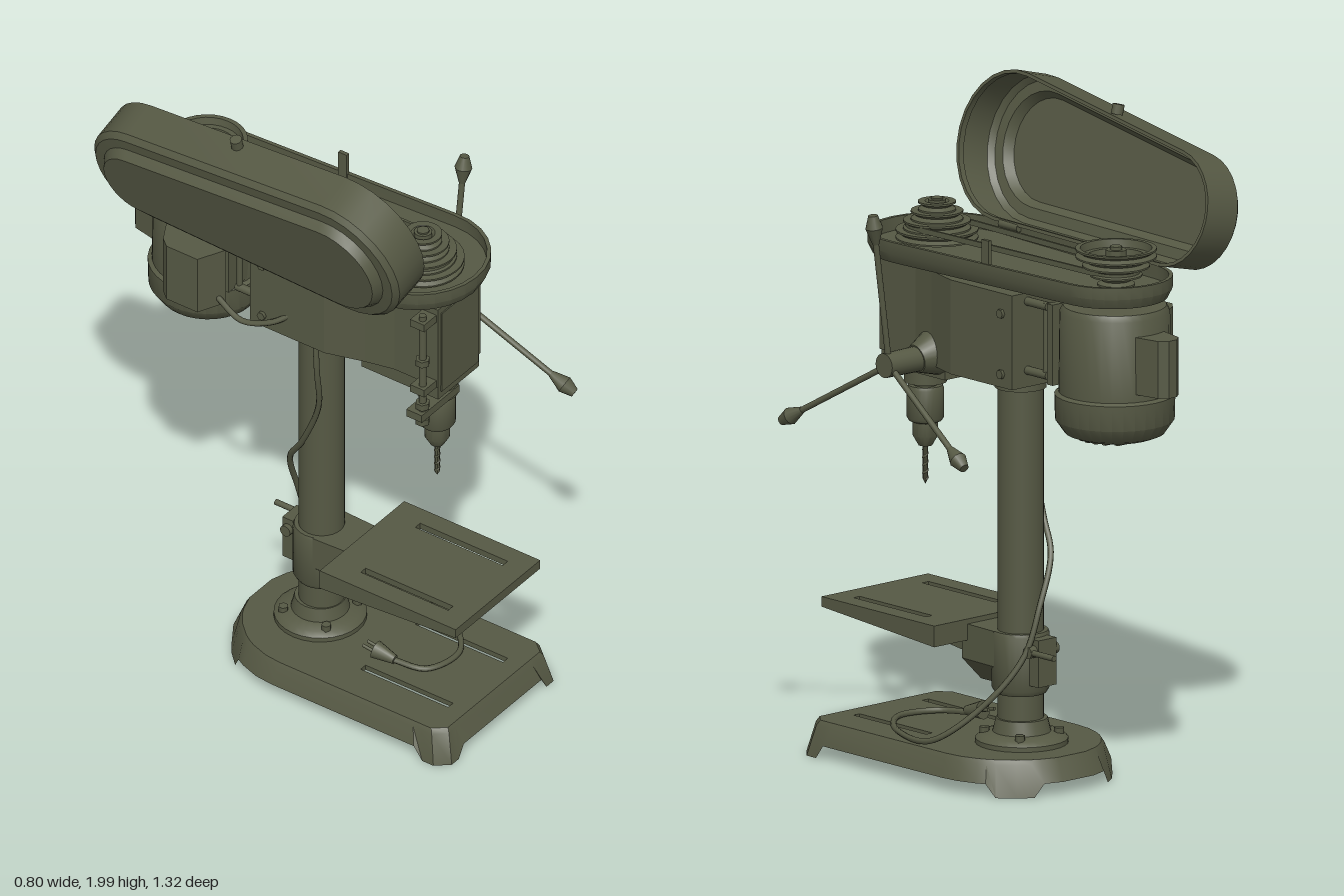
import * as THREE from 'three';
import { toCreasedNormals } from 'three/addons/utils/BufferGeometryUtils.js';

const CX = 0.045; // centre line of column, head and motor
const paint = new THREE.MeshStandardMaterial({ color: 0x565944, side: THREE.DoubleSide });
paint.name = 'olive paint';

const V = (x, y, z) => new THREE.Vector3(x, y, z);

// Convex outline around two circles [u, v, r]
function hull([ua, va, ra], [ub, vb, rb], n = 14) {
  const dir = Math.atan2(vb - va, ub - ua);
  const b = Math.acos((ra - rb) / Math.hypot(ub - ua, vb - va));
  const pts = [];
  const arc = (u, v, r, from, to) => {
    for (let i = 0; i <= n; i++) {
      const t = from + (to - from) * i / n;
      pts.push([u + r * Math.cos(t), v + r * Math.sin(t)]);
    }
  };
  arc(ua, va, ra, dir + b, dir + 2 * Math.PI - b);
  arc(ub, vb, rb, dir - b, dir + b);
  return pts;
}

// Skin through closed rings of points; the last ring may be capped
function loft(rings, cap) {
  const n = rings[0].length, pos = [], idx = [];
  rings.flat().forEach(p => pos.push(p.x, p.y, p.z));
  for (let r = 0; r < rings.length - 1; r++) for (let i = 0; i < n; i++) {
    const a = r * n + i, b = r * n + (i + 1) % n;
    idx.push(a, b, a + n, b, b + n, a + n);
  }
  if (cap) {
    const last = rings[rings.length - 1], c = V(0, 0, 0);
    last.forEach(p => c.addScaledVector(p, 1 / n));
    pos.push(c.x, c.y, c.z);
    const o = (rings.length - 1) * n;
    for (let i = 0; i < n; i++) idx.push(o + i, o + (i + 1) % n, rings.length * n);
  }
  const g = new THREE.BufferGeometry();
  g.setAttribute('position', new THREE.Float32BufferAttribute(pos, 3));
  g.setIndex(idx);
  return toCreasedNormals(g, 0.5);
}

// Plan outline [x, z] extruded from y0 up to y1
function slab(pts, y0, y1, holes = []) {
  const s = new THREE.Shape(pts.map(p => new THREE.Vector2(p[0], p[1])));
  holes.forEach(h => s.holes.push(new THREE.Path(h.map(p => new THREE.Vector2(p[0], p[1])))));
  return new THREE.ExtrudeGeometry(s, { depth: y1 - y0, bevelEnabled: false }).rotateX(Math.PI / 2).translate(0, y1, 0);
}
const rect = (x0, x1, z0, z1) => [[x0, z0], [x1, z0], [x1, z1], [x0, z1]];
const mirror = half => [...half, ...half.slice().reverse().map(([x, ...r]) => [-x, ...r])];

export function createModel() {
  const root = new THREE.Group();
  const add = (name, geo) => {
    const m = new THREE.Mesh(geo, paint);
    m.name = name;
    root.add(m);
    return m;
  };
  const box = (name, x0, x1, y0, y1, z0, z1) => add(name,
    new THREE.BoxGeometry(x1 - x0, y1 - y0, z1 - z0).translate((x0 + x1) / 2, (y0 + y1) / 2, (z0 + z1) / 2));
  const lathe = (name, profile, x, z, seg = 28) => add(name, toCreasedNormals(
    new THREE.LatheGeometry(profile.map(p => new THREE.Vector2(p[0], p[1])), seg), 0.6).translate(x, 0, z));
  const rod = (name, a, b, r0, r1 = r0, seg = 12) => {
    const d = b.clone().sub(a);
    const m = add(name, new THREE.CylinderGeometry(r1, r0, d.length(), seg));
    m.position.copy(a).addScaledVector(d, 0.5);
    m.quaternion.setFromUnitVectors(V(0, 1, 0), d.normalize());
    return m;
  };
  const tube = (name, pts, r, seg = 70) => add(name,
    new THREE.TubeGeometry(new THREE.CatmullRomCurve3(pts.map(p => V(...p))), seg, r, 7));

  // Base: hollow casting with feet, rounded back and two slots
  const half = [[0.19, 0.64, 0.04], [0.215, 0.64, 0], [0.25, 0.64, 0], [0.285, 0.6, 0],
    [0.285, 0.56, 0], [0.285, 0.53, 0.04]];
  for (const deg of [0, 12, 25, 31, 37, 50, 60, 66, 78]) {
    const t = deg * Math.PI / 180;
    half.push([0.285 * Math.cos(t), 0.02 - 0.28 * Math.sin(t), deg > 33 && deg < 62 ? 0 : 0.04]);
  }
  const foot = mirror(half);
  const top = foot.map(([x, z]) => [CX + x * 0.93, 0.19 + (z - 0.19) * 0.95]);
  const crown = top.map(([x, z]) => [CX + (x - CX) * 0.97, 0.19 + (z - 0.19) * 0.98]);
  add('baseSkirt', loft([foot.map(([x, z, y]) => V(CX + x, y, z)), top.map(([x, z]) => V(x, 0.092, z)),
    crown.map(([x, z]) => V(x, 0.106, z))], false));
  const slots = [-0.134, 0.134].map(d => rect(CX + d - 0.012, CX + d + 0.012, 0.24, 0.552));
  add('baseTop', slab(crown, 0.09, 0.106, slots));

  // Column with its flange and bolts
  lathe('columnFlange', [[0, 0.1], [0.135, 0.1], [0.135, 0.12], [0.12, 0.133], [0.085, 0.14], [0.075, 0.18], [0, 0.18]], CX, -0.01);
  for (let i = 0; i < 4; i++) {
    const t = Math.PI / 4 + i * Math.PI / 2;
    const x = CX + 0.108 * Math.cos(t), z = -0.01 + 0.108 * Math.sin(t);
    rod('flangeBolt', V(x, 0.12, z), V(x, 0.15, z), 0.015, 0.015, 6);
  }
  rod('column', V(CX, 0.1, -0.005), V(CX, 1.25, -0.005), 0.067, 0.067, 28);
  rod('columnCollar', V(CX, 1.16, -0.005), V(CX, 1.21, -0.005), 0.075, 0.075, 28);

  // Table: slotted plate, tapered rim, arm and column clamp
  const tb = rect(-0.165, 0.25, 0.14, 0.625);
  add('tablePlate', slab(tb, 0.435, 0.455, slots));
  const lip = tb.map(([x, z]) => [CX + (x - CX) * 0.92, 0.38 + (z - 0.38) * 0.93]);
  const under = ([x, z]) => V(x, z > 0.3 ? 0.425 : 0.392, z);
  add('tableRim', loft([tb.map(([x, z]) => V(x, 0.45, z)), tb.map(under), lip.map(under),
    lip.map(([x, z]) => V(x, 0.435, z))], false));
  const arm = (w, y0, z) => [V(CX - w, 0.44, z), V(CX + w, 0.44, z), V(CX + w, y0, z), V(CX - w, y0, z)];
  add('tableArm', loft([arm(0.06, 0.345, 0.1), arm(0.035, 0.37, 0.41)], true));
  lathe('tableClamp', [[0, 0.255], [0.075, 0.255], [0.084, 0.27], [0.084, 0.43], [0.08, 0.44], [0, 0.44]], CX, -0.005);
  const nose = (w, z) => [[-w, 0.44], [w, 0.44], [w, 0.335], [0, 0.262], [-w, 0.335]].map(([x, y]) => V(CX + x, y, z));
  add('clampNose', loft([nose(0.08, 0.02), nose(0.074, 0.165)], true));
  box('clampEars', CX - 0.035, CX + 0.035, 0.29, 0.43, -0.12, -0.06);
  rod('clampBolt', V(CX - 0.05, 0.395, -0.1), V(CX + 0.06, 0.395, -0.1), 0.018);
  rod('clampLever', V(CX + 0.05, 0.395, -0.1), V(CX + 0.05, 0.395, -0.205), 0.009);

  // Head casting: narrow nose flaring to a wide rear
  add('head', slab(mirror([[0.105, 0.485], [0.105, 0.33], [0.125, 0.24], [0.16, 0.12], [0.16, -0.145]])
    .map(([x, z]) => [CX + x, z]), 1.2, 1.48));
  box('headNose', CX - 0.1, CX + 0.1, 1.155, 1.2, 0.21, 0.483);
  box('frontPanel', CX - 0.09, CX + 0.09, 1.18, 1.46, 0.483, 0.489);
  for (const s of [-1, 1]) for (const y of [1.24, 1.42])
    rod('headScrew', V(CX + s * 0.16, y, -0.1), V(CX + s * 0.17, y, -0.1), 0.014, 0.014, 6);

  // Quill, chuck and drill bit
  lathe('chuck', [[0, 1.16], [0.062, 1.16], [0.062, 1.1], [0.035, 1.1], [0.035, 1.09], [0.05, 1.09], [0.054, 1.08],
    [0.054, 0.995], [0.048, 0.985], [0.037, 0.98], [0.037, 0.94], [0.02, 0.91], [0, 0.91]], 0.04, 0.41);
  lathe('drillBit', [[0.008, 0.92], [0.008, 0.81], [0, 0.795]], 0.04, 0.41, 8);
  add('drillFlute', new THREE.TubeGeometry(new THREE.CatmullRomCurve3(Array.from({ length: 25 }, (_, i) =>
    V(0.04 + 0.006 * Math.cos(i), 0.9 - i * 0.0038, 0.41 + 0.006 * Math.sin(i)))), 60, 0.004, 5));

  // Depth stop beside the nose
  rod('depthRod', V(-0.1, 1.1, 0.46), V(-0.1, 1.475, 0.46), 0.011);
  box('depthBracket', -0.125, 0.06, 1.11, 1.135, 0.42, 0.475);
  for (const y of [1.2, 1.435]) box('depthLug', -0.12, -0.05, y, y + 0.025, 0.43, 0.48);
  for (const y of [1.09, 1.145, 1.3]) rod('depthNut', V(-0.1, y, 0.46), V(-0.1, y + 0.02, 0.46), 0.022, 0.022, 6);

  // Feed hub with three levers
  const hub = V(0.315, 1.22, 0.262);
  rod('feedBoss', V(0.12, 1.235, 0.255), V(0.21, 1.22, 0.262), 0.08, 0.042, 20);
  rod('feedHub', V(0.17, 1.22, 0.262), V(0.335, 1.22, 0.262), 0.038, 0.036, 20);
  for (let i = 0; i < 3; i++) {
    const t = i * Math.PI * 2 / 3;
    const d = V(0.06 / 0.43, Math.cos(t), Math.sin(t)).normalize();
    const at = s => hub.clone().addScaledVector(d, s);
    rod('feedLever', at(0), at(0.39), 0.009);
    rod('leverKnobNeck', at(0.37), at(0.42), 0.01, 0.026);
    rod('leverKnob', at(0.42), at(0.458), 0.026, 0.014);
  }

  // Motor, terminal boxes and bracket
  const MZ = -0.41;
  lathe('motor', [[0, 1.09], [0.12, 1.09], [0.145, 1.1], [0.173, 1.14], [0.175, 1.215], [0.163, 1.222],
    [0.16, 1.46], [0.15, 1.478], [0, 1.48]], CX, MZ, 32);
  for (let i = -3; i <= 3; i++) {
    const w = Math.sqrt(0.0121 - (i * 0.028) ** 2);
    box('motorVent', CX - w, CX + w, 1.084, 1.09, MZ + i * 0.028 - 0.007, MZ + i * 0.028 + 0.007);
  }
  add('rearBox', slab([[CX - 0.06, -0.54], [CX - 0.04, -0.64], [CX - 0.015, -0.66], [CX + 0.015, -0.66],
    [CX + 0.04, -0.64], [CX + 0.06, -0.54]], 1.245, 1.415));
  add('sideBox', slab([[-0.08, -0.46], [-0.19, -0.4], [-0.215, -0.37], [-0.215, -0.26], [-0.13, -0.22], [-0.08, -0.28]], 1.24, 1.43));
  for (const s of [-1, 1]) {
    const x = CX + s * 0.1;
    for (const y of [1.25, 1.455]) rod('motorSlide', V(x, y, -0.12), V(x, y, -0.235), 0.013);
    rod('motorSlideBar', V(x, 1.24, -0.225), V(x, 1.465, -0.225), 0.009);
  }
  box('motorPlate', CX - 0.12, CX + 0.12, 1.23, 1.47, -0.275, -0.25);

  // Belt tray on top of the head
  const trayRing = (y, o) => hull([CX, 0.335, 0.214 + o], [CX, -0.4, 0.175 + o]).map(([x, z]) => V(x, y, z));
  add('beltTray', loft([trayRing(1.525, -0.012), trayRing(1.565, -0.012), trayRing(1.565, 0), trayRing(1.53, 0),
    trayRing(1.5, -0.015)], true));
  add('trayFloor', slab(hull([CX, 0.335, 0.203], [CX, -0.4, 0.164]), 1.51, 1.525));
  box('traySupport', CX - 0.1, CX + 0.1, 1.47, 1.51, -0.1, 0.42);
  box('trayLatch', 0.222, 0.234, 1.54, 1.635, -0.075, -0.045);

  // Stepped pulleys and belt; the motor pulley is dished on top
  const pulley = (name, z, radii, crownProfile) => {
    const p = [[0, 1.52], [0.03, 1.52]];
    radii.forEach((r, i) => {
      const y = 1.535 + i * 0.0275;
      p.push([r, y], [r, y + 0.005], [r - 0.014, y + 0.0135], [r, y + 0.022], [r, y + 0.0275]);
    });
    lathe(name, [...p, ...crownProfile], 0.04, z);
  };
  pulley('spindlePulley', 0.36, [0.12, 0.098, 0.076, 0.055], [[0.035, 1.645], [0.026, 1.635], [0.026, 1.65], [0, 1.65]]);
  pulley('motorPulley', MZ, [0.055, 0.076, 0.098, 0.118],
    [[0.104, 1.645], [0.1, 1.622], [0.084, 1.622], [0.08, 1.6], [0.06, 1.6], [0.054, 1.58], [0.03, 1.58], [0.03, 1.64], [0, 1.64]]);
  rod('motorShaft', V(0.04, 1.46, MZ), V(0.04, 1.65, MZ), 0.018);
  rod('spindleShaft', V(0.04, 1.46, 0.36), V(0.04, 1.655, 0.36), 0.018);
  const beltLine = o => hull([0.04, 0.36, 0.088 + o], [0.04, MZ, 0.066 + o]);
  add('belt', slab(beltLine(0.003), 1.568, 1.584, [beltLine(-0.005)]));

  // Open belt cover, hinged along the right of the tray and slightly yawed
  const lidAt = (z, v, d) => V(-0.128 - 0.036 * z - 0.25 * v - 0.968 * d, 1.56 + 0.968 * v - 0.25 * d, z);
  const lidRing = (d, o) => hull([0.318, 0.225, 0.22 + o], [-0.415, 0.178, 0.172 + o]).map(([z, v]) => lidAt(z, v, d));
  add('beltCover', loft([lidRing(0.02, -0.01), lidRing(0, -0.01), lidRing(0, 0), lidRing(0.122, -0.002), lidRing(0.138, -0.018),
    lidRing(0.14, -0.05), lidRing(0.168, -0.068)], true));
  rod('coverKnob', lidAt(-0.09, 0.395, 0.03), lidAt(-0.09, 0.425, 0.03), 0.018);
  for (const z of [-0.3, 0.25]) rod('coverHinge', V(-0.145, 1.56, z - 0.04), V(-0.145, 1.56, z + 0.04), 0.012);

  // Power cord and plug, motor lead
  tube('powerCord', [[-0.09, 1.22, 0.07], [-0.09, 1.1, 0.075], [-0.06, 0.95, 0.06], [-0.03, 0.77, -0.02],
    [0, 0.67, -0.085], [0.06, 0.53, -0.105], [0.11, 0.38, -0.09], [0.2, 0.24, -0.02], [0.29, 0.13, 0.1],
    [0.25, 0.117, 0.3], [0.12, 0.117, 0.43], [0, 0.117, 0.4], [-0.03, 0.125, 0.3]], 0.009, 110);
  tube('motorLead', [[-0.15, 1.27, -0.24], [-0.15, 1.22, -0.15], [-0.13, 1.24, -0.06], [-0.1, 1.28, 0]], 0.009, 24);
  rod('plug', V(-0.03, 0.128, 0.31), V(-0.035, 0.14, 0.245), 0.014, 0.028);
  for (const s of [-1, 1]) rod('plugPin', V(-0.035 + s * 0.012, 0.14, 0.25), V(-0.037 + s * 0.012, 0.148, 0.21), 0.005);
  return root;
}
